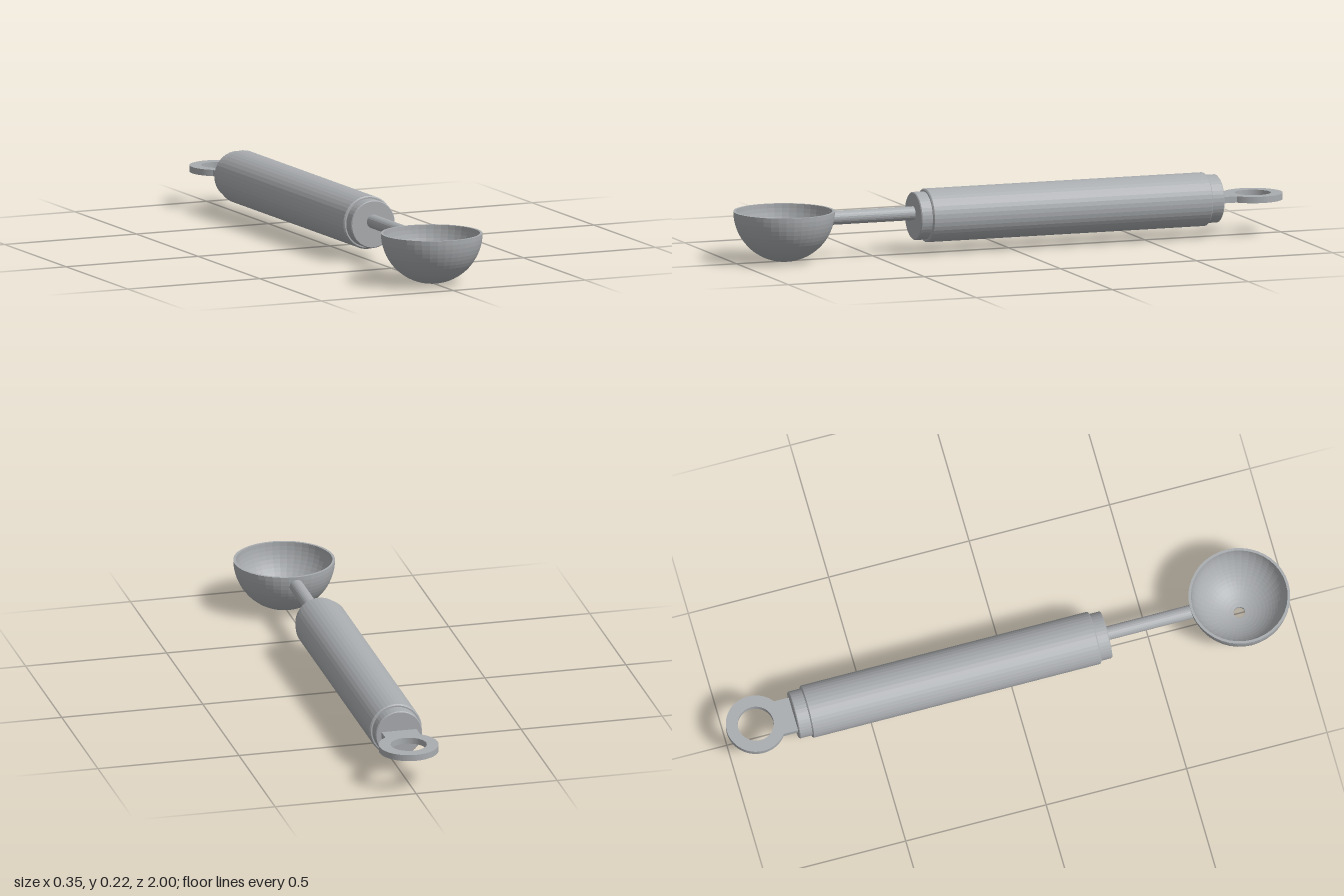
import * as THREE from 'three';

const SIDES = 40;
const AXIS_Y = 0.131; // height of the handle axis

// Split shared vertices so every facet is shaded flat
function faceted(geometry) {
  const g = geometry.index ? geometry.toNonIndexed() : geometry;
  g.computeVertexNormals();
  return g;
}

// Solid turned along z from [radius, z] pairs, back to front
function turned(points) {
  const profile = points.map(([r, z]) => new THREE.Vector2(r, z));
  return faceted(new THREE.LatheGeometry(profile, SIDES).rotateX(Math.PI / 2));
}

export function createModel() {
  const group = new THREE.Group();
  const steel = new THREE.MeshStandardMaterial({ color: 0xaaadb0 });

  function add(name, geometry, x, y, z) {
    const mesh = new THREE.Mesh(geometry, steel);
    mesh.name = name;
    mesh.position.set(x, y, z);
    group.add(mesh);
  }

  // Hollow half-sphere bowl with a drain hole in the bottom
  const outer = 0.175, inner = 0.166, hole = 0.02, rows = 16;
  const profile = [];
  const arc = (radius, t) => {
    const start = Math.asin(hole / radius);
    const a = start + (Math.PI / 2 - start) * t;
    profile.push(new THREE.Vector2(radius * Math.sin(a), outer - radius * Math.cos(a)));
  };
  for (let i = 0; i <= rows; i++) arc(outer, i / rows);
  for (let i = rows; i >= 0; i--) arc(inner, i / rows);
  profile.push(profile[0].clone());
  add('bowl', faceted(new THREE.LatheGeometry(profile, SIDES)), 0, 0, 0.825);

  // Rod joining bowl and handle, its tip just showing inside the bowl
  const rod = new THREE.CylinderGeometry(0.024, 0.024, 0.33, 24).rotateX(Math.PI / 2);
  add('rod', faceted(rod), 0, 0.141, 0.495);

  // Grip with lightly chamfered ends
  add('grip', turned([
    [0, -0.718], [0.088, -0.718], [0.0925, -0.714],
    [0.0925, 0.306], [0.088, 0.31], [0, 0.31],
  ]), 0, AXIS_Y, 0);

  // End caps, slightly narrower than the grip
  add('frontCap', turned([[0, 0.3], [0.083, 0.3], [0.083, 0.348], [0.08, 0.351], [0, 0.351]]), 0, AXIS_Y, 0);
  add('backCap', turned([[0, -0.763], [0.08, -0.763], [0.083, -0.76], [0.083, -0.71], [0, -0.71]]), 0, AXIS_Y, 0);

  // Hanging ring with its neck, cut from one flat plate
  const ringR = 0.103, neck = 0.062, ringZ = -0.897;
  const corner = Math.asin(neck / ringR);
  const shape = new THREE.Shape();
  shape.moveTo(-neck, -0.15);
  shape.lineTo(neck, -0.15);
  shape.absarc(0, 0, ringR, corner - Math.PI / 2, Math.PI * 1.5 - corner, false);
  shape.closePath();
  const eye = new THREE.Path();
  eye.absarc(0, 0, 0.062, 0, Math.PI * 2, true);
  shape.holes.push(eye);
  const plate = new THREE.ExtrudeGeometry(shape, { depth: 0.022, bevelEnabled: false, curveSegments: 32 });
  plate.translate(0, 0, -0.011).rotateX(-Math.PI / 2);
  add('hangingRing', faceted(plate), 0, 0.133, ringZ);

  return group;
}
